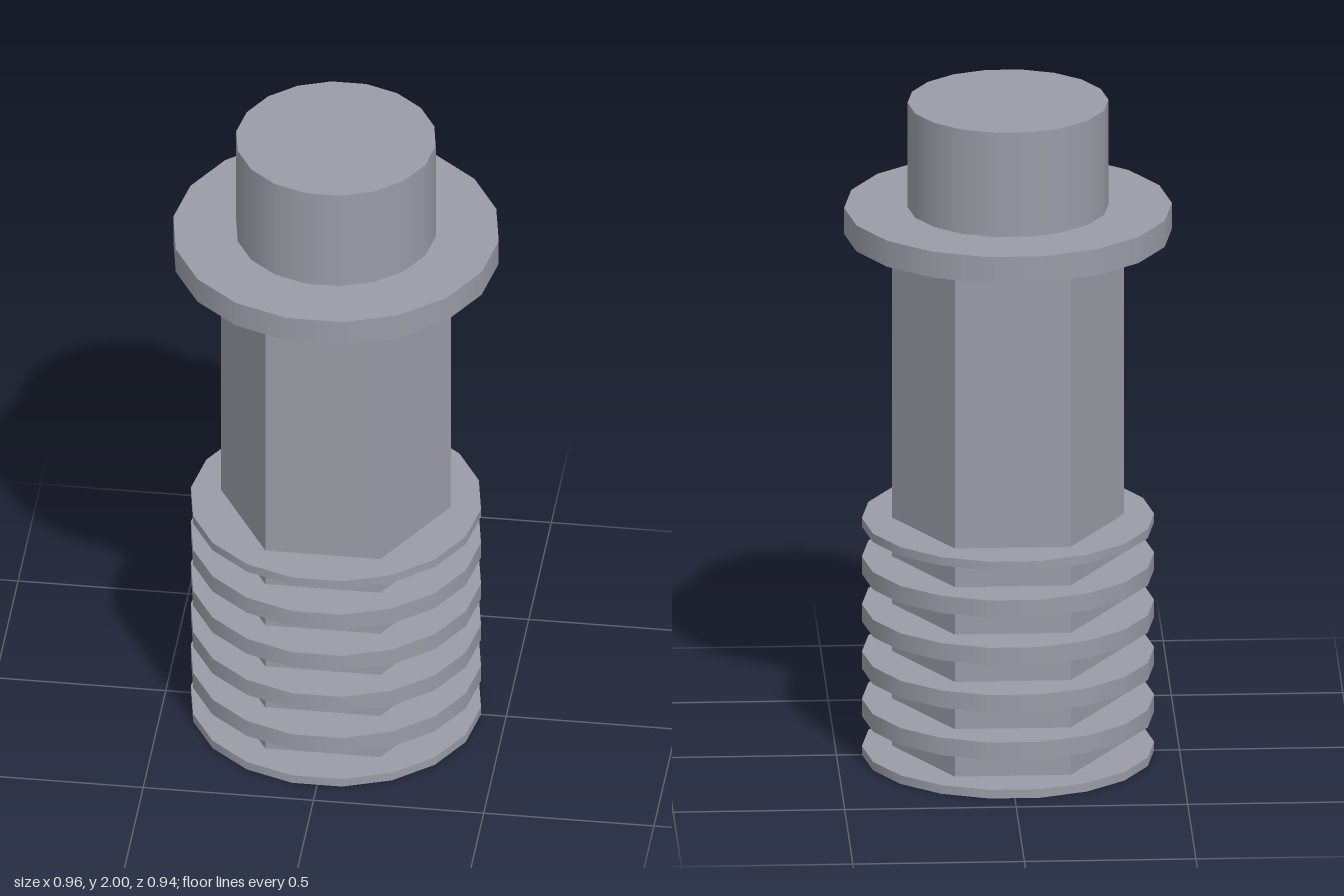
import * as THREE from 'three';

export function createModel() {
  const group = new THREE.Group();
  const steel = new THREE.MeshStandardMaterial({ color: 0x9a9ca6 });
  steel.name = 'grey steel';

  // Upright prism between two heights, with a corner on the x axis
  function addPrism(name, radius, bottom, top, sides, faceted = false) {
    let geometry = new THREE.CylinderGeometry(radius, radius, top - bottom, sides, 1, false, Math.PI / 2);
    if (faceted) {
      geometry = geometry.toNonIndexed();
      geometry.computeVertexNormals();
    }
    const mesh = new THREE.Mesh(geometry, steel);
    mesh.name = name;
    mesh.position.y = (bottom + top) / 2;
    group.add(mesh);
  }

  // Hexagonal shank
  addPrism('hexShank', 0.338, 0.01, 1.62, 6, true);

  // Evenly spaced ribs; the first and last are half as thick
  const count = 6, pitch = 0.1454, half = 0.0265;
  for (let i = 0; i < count; i++) {
    const y = i * pitch;
    const bottom = i === 0 ? 0 : y - half;
    const top = i === count - 1 ? y : y + half;
    addPrism('rib' + (i + 1), 0.426, bottom, top, 18);
  }

  // Flange and head
  addPrism('flange', 0.478, 1.6, 1.68, 18);
  addPrism('head', 0.293, 1.67, 2, 18);

  return group;
}
